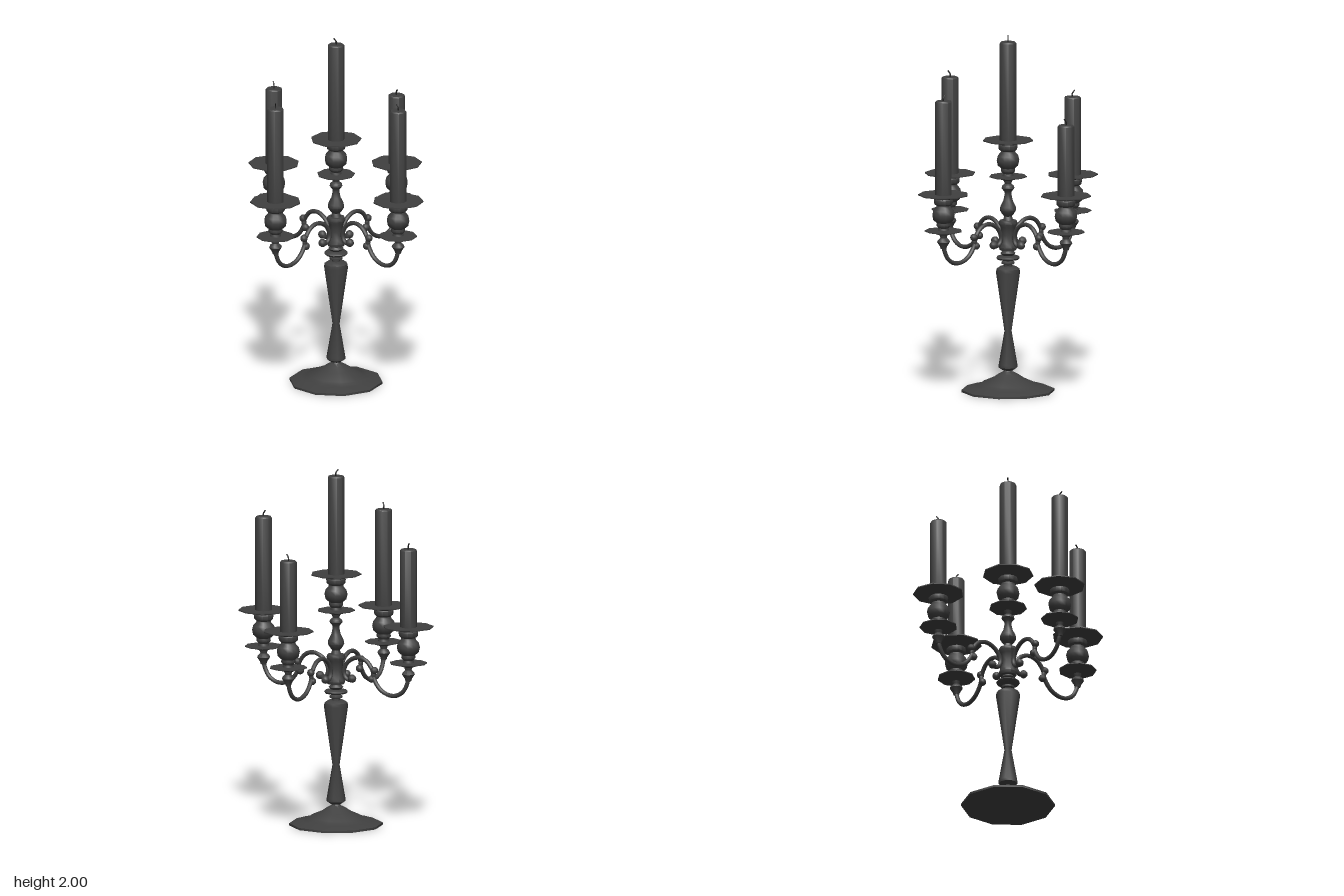
import * as THREE from 'three';
import { toCreasedNormals } from 'three/addons/utils/BufferGeometryUtils.js';

const metal = new THREE.MeshStandardMaterial({ color: 0x404040 });
const wax = new THREE.MeshStandardMaterial({ color: 0x404040 });
const wickMaterial = new THREE.MeshStandardMaterial({ color: 0x222222 });

function add(parent, name, geometry, material = metal) {
  const mesh = new THREE.Mesh(geometry, material);
  mesh.name = name;
  parent.add(mesh);
  return mesh;
}

// Turned part from [radius, height] pairs, one corner pointing along +x
function turned(profile, sides) {
  const step = (Math.PI * 2) / sides;
  const points = profile.map(([r, y]) => new THREE.Vector2(r, y));
  const geometry = new THREE.LatheGeometry(points, sides, (Math.PI / 2) % step);
  return toCreasedNormals(geometry, 0.8);
}

// Round bar through [x, y] points in the plane of an arm
function bar(points, radius, segments = 32, sides = 8) {
  const curve = new THREE.CatmullRomCurve3(points.map(([x, y]) => new THREE.Vector3(x, y, 0)));
  return new THREE.TubeGeometry(curve, segments, radius, sides);
}

function ball(parent, name, x, y, r) {
  add(parent, name, new THREE.SphereGeometry(r, 10, 8)).position.set(x, y, 0);
}

// Socket with two drip plates, a candle and its wick; base height 0 is the lower plate
function candleHolder(candleTop, wickTurn) {
  const g = new THREE.Group();
  g.name = 'candleHolder';
  add(g, 'lowerDripPlate', turned([
    [0, -0.025], [0.03, -0.022], [0.06, -0.012], [0.105, -0.003], [0.105, 0.002],
    [0.05, 0.002], [0, 0.004],
  ], 9));
  add(g, 'socket', turned([
    [0, 0], [0.032, 0], [0.028, 0.015], [0.04, 0.03], [0.038, 0.045], [0.058, 0.062],
    [0.064, 0.09], [0.058, 0.115], [0.042, 0.133], [0.04, 0.142], [0.052, 0.152],
    [0.055, 0.175], [0.045, 0.19], [0, 0.19],
  ], 12));
  add(g, 'upperDripPlate', turned([
    [0, 0.18], [0.05, 0.18], [0.09, 0.19], [0.141, 0.2], [0.141, 0.206], [0.07, 0.203], [0, 0.203],
  ], 9));
  add(g, 'candle', turned([
    [0, 0.195], [0.047, 0.195], [0.047, candleTop - 0.007], [0.042, candleTop], [0, candleTop],
  ], 9), wax);
  const wick = add(g, 'wick', bar([
    [0, candleTop - 0.005], [0.002, candleTop + 0.014], [-0.004, candleTop + 0.025], [-0.013, candleTop + 0.036],
  ], 0.004, 6, 5), wickMaterial);
  wick.rotation.y = wickTurn;
  return g;
}

// One scrolled arm reaching out along +x
function arm(candleTop, wickTurn) {
  const g = new THREE.Group();
  g.name = 'arm';
  add(g, 'outerScroll', bar([
    [0.48, 0.89], [0.473, 0.845], [0.445, 0.795], [0.4, 0.768], [0.35, 0.766],
    [0.3, 0.787], [0.265, 0.825], [0.245, 0.87], [0.252, 0.893],
  ], 0.012));
  add(g, 'innerScroll', bar([
    [0.237, 0.845], [0.25, 0.87], [0.232, 0.91], [0.2, 0.943], [0.155, 0.957], [0.11, 0.947],
    [0.07, 0.915], [0.052, 0.87], [0.062, 0.838], [0.085, 0.825], [0.105, 0.832],
  ], 0.012, 40));
  ball(g, 'upperScrollEnd', 0.254, 0.895, 0.021);
  ball(g, 'lowerScrollEnd', 0.237, 0.845, 0.021);
  ball(g, 'innerScrollEnd', 0.107, 0.834, 0.023);
  const cup = add(g, 'armFinial', turned([
    [0, 0.855], [0.016, 0.858], [0.02, 0.872], [0.036, 0.897], [0.032, 0.907], [0.018, 0.92],
    [0.024, 0.94], [0, 0.94],
  ], 10));
  cup.position.x = 0.48;
  const holder = candleHolder(candleTop - 0.96, wickTurn);
  holder.position.set(0.48, 0.96, 0);
  g.add(holder);
  return g;
}

export function createModel() {
  const model = new THREE.Group();
  model.name = 'candelabra';

  add(model, 'foot', turned([
    [0, 0], [0.26, 0], [0.26, 0.012], [0.2, 0.03], [0.165, 0.038], [0.155, 0.047],
    [0.09, 0.075], [0.055, 0.098], [0.026, 0.112], [0.02, 0.13], [0, 0.13],
  ], 10));
  add(model, 'stem', turned([
    [0, 0.118], [0.03, 0.12], [0.052, 0.135], [0.052, 0.152], [0.02, 0.34],
    [0.067, 0.67], [0.064, 0.69], [0.045, 0.703], [0, 0.703],
  ], 10));
  add(model, 'collar', turned([
    [0.022, 0.7], [0.022, 0.712], [0.036, 0.718], [0.036, 0.728], [0.024, 0.735], [0.06, 0.743],
    [0.066, 0.752], [0.06, 0.76], [0.03, 0.765], [0.042, 0.778], [0.03, 0.79], [0.03, 0.8],
  ], 12));
  add(model, 'hub', turned([
    [0, 0.79], [0.046, 0.795], [0.052, 0.812], [0.042, 0.835], [0.035, 0.88], [0.042, 0.925],
    [0.053, 0.945], [0.048, 0.962], [0, 0.966],
  ], 10));
  add(model, 'baluster', turned([
    [0.03, 0.96], [0.022, 0.985], [0.034, 1.0], [0.046, 1.02], [0.044, 1.038], [0.026, 1.075],
    [0.018, 1.115], [0.022, 1.125], [0.036, 1.143], [0.034, 1.155], [0.018, 1.168], [0.026, 1.19],
  ], 12));

  // Central candle stands above the arms
  const top = candleHolder(1.965 - 1.21, -Math.PI / 4);
  top.position.y = 1.21;
  top.rotation.y = Math.PI / 2;
  model.add(top);

  // Arms to the left, back, right and front, each candle burnt to its own height
  [1.69, 1.56, 1.6, 1.705].forEach((height, i) => {
    const a = arm(height, i * 1.3);
    a.rotation.y = (i * Math.PI) / 2;
    model.add(a);
  });
  return model;
}
